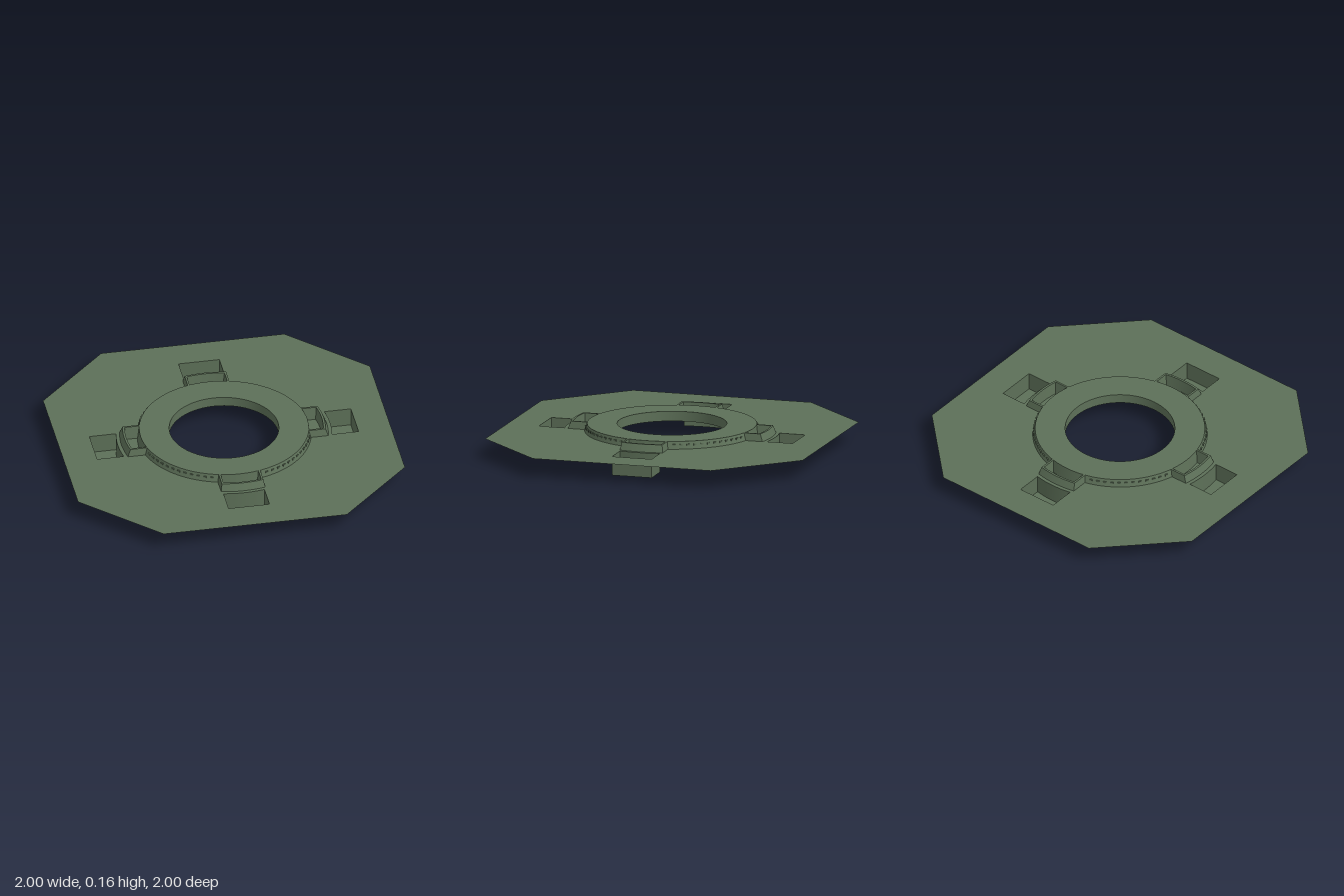
import * as THREE from 'three';
import { toCreasedNormals } from 'three/addons/utils/BufferGeometryUtils.js';

const V = (x, y) => new THREE.Vector2(x, y);
const PLATE_Y = 0.115, TOP_Y = 0.16, HOLE_R = 0.33;

// points along an arc about the origin
function arc(r, a0, a1, n) {
  return Array.from({ length: n + 1 }, (_, i) => {
    const a = a0 + (a1 - a0) * i / n;
    return V(r * Math.cos(a), r * Math.sin(a));
  });
}

// round collar outline with four lugs of radius R and half width w
function collarOutline(r, R, w) {
  const pts = [], b = Math.asin(w / R), c = Math.asin(w / r);
  for (let k = 0; k < 4; k++) {
    const q = k * Math.PI / 2;
    pts.push(...arc(R, q - b, q + b, 8), ...arc(r, q + c, q + Math.PI / 2 - c, 20));
  }
  return pts;
}

// pocket outline on the +x side: curved inside edge, curved or straight outside edge
function pocketOutline(r0, r1, w, straight) {
  const b0 = Math.asin(w / r0), b1 = Math.asin(w / r1);
  const outer = straight ? [V(r1, -w), V(r1, w)] : arc(r1, -b1, b1, 8);
  return [...outer, ...arc(r0, b0, -b0, 8)];
}

const turn = (pts, k) => pts.map(p => p.clone().rotateAround(V(0, 0), k * Math.PI / 2));

// horizontal sheet with holes, facing up
function sheet(outline, holes, y) {
  const s = new THREE.Shape(outline);
  s.holes = holes.map(h => new THREE.Path(h));
  return new THREE.ShapeGeometry(s).rotateX(-Math.PI / 2).translate(0, y, 0);
}

// wall joining two matching closed outlines
function wall(low, yLow, high, yHigh) {
  const pos = [], n = low.length;
  const put = (p, y) => pos.push(p.x, y, -p.y);
  for (let i = 0; i < n; i++) {
    const j = (i + 1) % n;
    put(low[i], yLow); put(low[j], yLow); put(high[j], yHigh);
    put(low[i], yLow); put(high[j], yHigh); put(high[i], yHigh);
  }
  const g = new THREE.BufferGeometry();
  g.setAttribute('position', new THREE.Float32BufferAttribute(pos, 3));
  return toCreasedNormals(g, 0.5);
}

export function createModel() {
  const model = new THREE.Group();
  model.name = 'octagonalPlate';
  const green = new THREE.MeshStandardMaterial({ color: 0x5d7058, side: THREE.DoubleSide });
  green.name = 'dullGreen';
  const add = (name, geometry) => {
    const m = new THREE.Mesh(geometry, green);
    m.name = name;
    model.add(m);
    return m;
  };

  const collarLow = collarOutline(0.525, 0.628, 0.135);
  const collarHigh = collarOutline(0.51, 0.61, 0.127);
  const hole = arc(HOLE_R, 0, Math.PI * 2, 64).slice(0, -1);
  const quarters = [0, 1, 2, 3];
  const pits = quarters.map(k => turn(pocketOutline(0.65, 0.8, 0.125, true), k));
  const lugTops = quarters.map(k => turn(pocketOutline(0.51, 0.597, 0.115, false), k));
  const lugFloors = quarters.map(k => turn(pocketOutline(0.52, 0.59, 0.105, false), k));

  // flat octagon, open under the collar and above the pits
  const c = 0.56;
  const octagon = [V(1, -c), V(1, c), V(c, 1), V(-c, 1), V(-1, c), V(-1, -c), V(-c, -1), V(c, -1)];
  add('plate', sheet(octagon, [collarLow, ...pits], PLATE_Y));

  // raised hollow collar and its central tube
  add('collarTop', sheet(collarHigh, [hole, ...lugTops], TOP_Y));
  add('collarSkirt', wall(collarLow, PLATE_Y, collarHigh, TOP_Y));
  add('centralTube', wall(hole, TOP_Y, hole, 0.1));

  // deep pits in the plate and shallow pockets in the lugs
  quarters.forEach(k => {
    add('pitWalls', wall(pits[k], PLATE_Y, pits[k], 0));
    add('pitFloor', sheet(pits[k], [], 0));
    add('lugPocketWalls', wall(lugTops[k], TOP_Y, lugFloors[k], 0.08));
    add('lugPocketFloor', sheet(lugFloors[k], [], 0.08));
  });

  // small teeth around the skirt between the lugs
  const tooth = new THREE.BoxGeometry(0.008, 0.01, 0.018);
  quarters.forEach(k => {
    for (let i = 0; i < 12; i++) {
      const a = k * Math.PI / 2 + 0.33 + i * (Math.PI / 2 - 0.66) / 11;
      const m = add('skirtTooth', tooth);
      m.position.set(0.518 * Math.cos(a), 0.14, -0.518 * Math.sin(a));
      m.rotation.y = a;
    }
  });
  return model;
}
